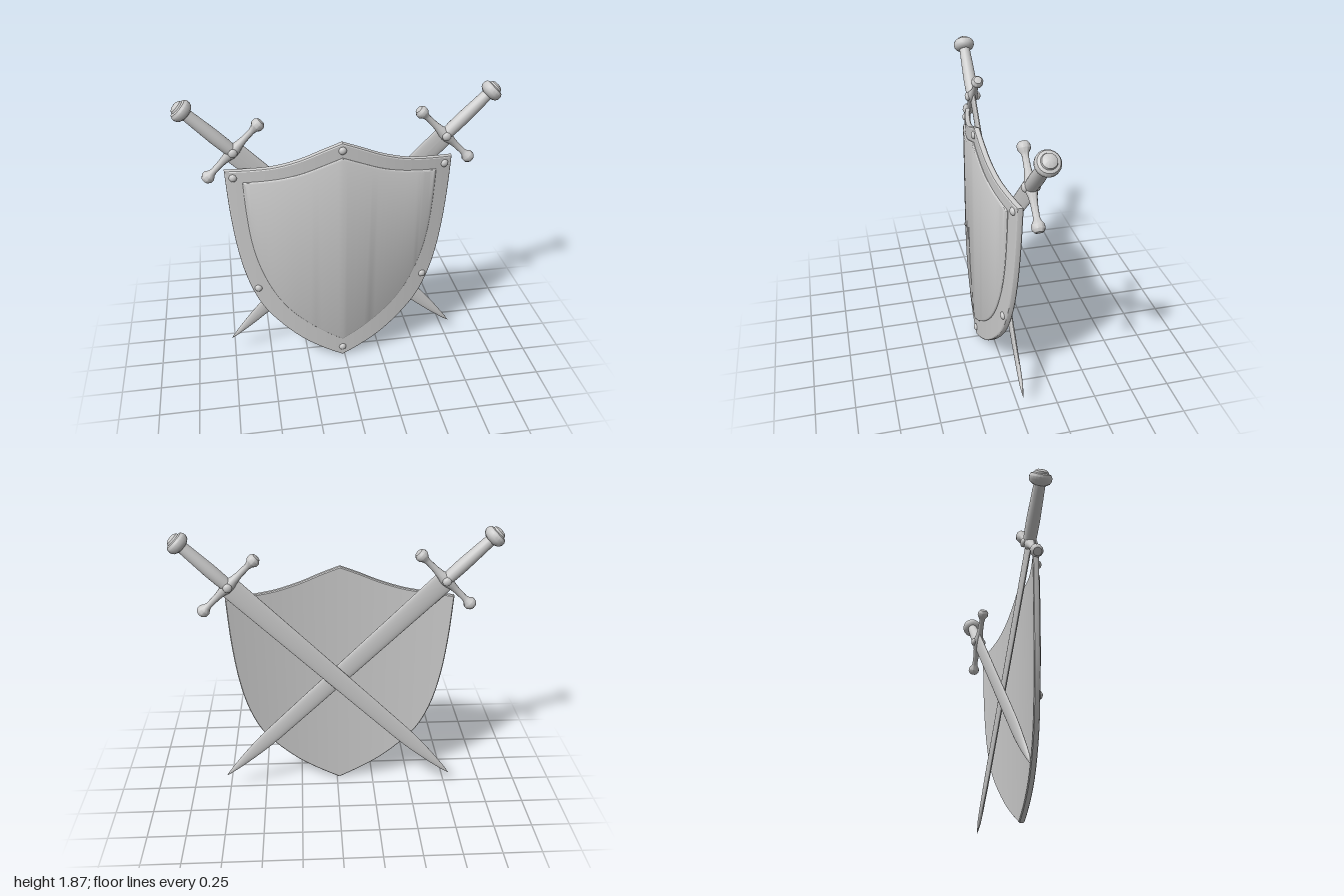
import * as THREE from 'three';
import { toCreasedNormals } from 'three/addons/utils/BufferGeometryUtils.js';

const material = new THREE.MeshStandardMaterial({ color: 0xcccccc });

function add(parent, name, geometry) {
  const mesh = new THREE.Mesh(geometry, material);
  mesh.name = name;
  parent.add(mesh);
  return mesh;
}

const vectors = (points) => points.map(([x, y]) => new THREE.Vector2(x, y));
const lathe = (points, sides, crease = 0.6) =>
  toCreasedNormals(new THREE.LatheGeometry(vectors(points), sides), crease);

// Backward bend of the shield away from its middle line
const HALF_WIDTH = 0.705;
const bend = (x) => 0.072 - 0.087 * (x / HALF_WIDTH) ** 2;

// Bent plate: half outlines run from the middle to the corner; layers are [inset, depth], back to front
function bentPlate(topPoints, lowerPoints, layers) {
  const half = 28, n = half * 2;
  const top = new THREE.SplineCurve(vectors(topPoints)).getPoints(80);
  const lower = new THREE.SplineCurve(vectors(lowerPoints)).getPoints(half);
  const topY = (x) => {
    const i = Math.max(1, top.findIndex((p) => p.x >= x));
    const a = top[i - 1], b = top[i];
    return a.y + ((b.y - a.y) * (x - a.x)) / (b.x - a.x);
  };

  // Closed loop: lower edge left to right, then top edge right to left
  const loop = [];
  for (let i = 0; i <= n; i++) {
    const p = lower[Math.abs(i - half)];
    loop.push([i < half ? -p.x : p.x, p.y]);
  }
  for (let i = n - 1; i > 0; i--) loop.push([loop[i][0], topY(Math.abs(loop[i][0]))]);

  const width = lower[half].x, midY = 0.85, count = loop.length;
  const positions = [], index = [];
  for (const [inset, depth] of layers) {
    for (const [x, y] of loop) {
      const px = x * (1 - inset / width);
      positions.push(px, midY + (y - midY) * (1 - inset / 0.7), bend(px) + depth);
    }
  }
  // Edge strips between layers
  for (let l = 0; l < layers.length - 1; l++) {
    for (let k = 0; k < count; k++) {
      const a = l * count + k, b = l * count + ((k + 1) % count);
      index.push(a, b, b + count, a, b + count, a + count);
    }
  }
  // Front and back faces, filled in upright columns
  const front = (layers.length - 1) * count;
  const tri = (a, b, c) => {
    if (a === b || b === c || a === c) return;
    index.push(front + a, front + b, front + c, a, c, b);
  };
  const upper = (i) => (2 * n - i) % (2 * n);
  for (let i = 0; i < n; i++) {
    tri(i, i + 1, upper(i + 1));
    tri(i, upper(i + 1), upper(i));
  }
  const geometry = new THREE.BufferGeometry();
  geometry.setAttribute('position', new THREE.Float32BufferAttribute(positions, 3));
  geometry.setIndex(index);
  return toCreasedNormals(geometry, 0.45);
}

function createShield() {
  const shield = new THREE.Group();
  shield.name = 'shield';

  add(shield, 'shieldRim', bentPlate(
    [[0, 1.6], [0.12, 1.555], [0.25, 1.503], [0.4, 1.461], [0.55, 1.442], [HALF_WIDTH, 1.43]],
    [[0, 0], [0.14, 0.078], [0.28, 0.175], [0.42, 0.31], [0.53, 0.455], [0.61, 0.65],
      [0.66, 0.88], [0.69, 1.15], [HALF_WIDTH, 1.43]],
    [[0.006, 0], [0, 0.006], [0, 0.027], [0.003, 0.034], [0.01, 0.038]]));

  add(shield, 'shieldPanel', bentPlate(
    [[0, 1.507], [0.12, 1.462], [0.24, 1.418], [0.36, 1.388], [0.48, 1.371], [0.6, 1.36]],
    [[0, 0.143], [0.13, 0.225], [0.26, 0.33], [0.37, 0.445], [0.46, 0.59], [0.53, 0.77],
      [0.57, 0.95], [0.59, 1.15], [0.6, 1.36]],
    [[0, 0.02], [0, 0.041], [0.004, 0.046], [0.014, 0.05]]));

  // Domed rivets around the rim
  const spots = [[0, 1.553], [0, 0.072]];
  for (const s of [-1, 1]) spots.push([s * 0.655, 1.388], [s * 0.548, 0.59]);
  const dome = new THREE.SphereGeometry(0.025, 16, 6, 0, Math.PI * 2, 0, Math.PI / 2);
  dome.scale(1, 0.75, 1).rotateX(Math.PI / 2);
  for (const [x, y] of spots) {
    const rivet = add(shield, 'rivet', dome);
    rivet.position.set(x, y, bend(x) + 0.036);
    rivet.rotation.y = Math.atan((2 * 0.087 * x) / HALF_WIDTH ** 2);
  }
  shield.position.x = -0.016;
  return shield;
}

// Sword pointing down -y, with the middle of its guard at the origin
function createSword(name) {
  const sword = new THREE.Group();
  sword.name = name;

  // Blade: turned profile flattened to a thin oval section
  const blade = new THREE.LatheGeometry(vectors([
    [0.0005, -2.02], [0.008, -1.99], [0.017, -1.94], [0.029, -1.86], [0.039, -1.78],
    [0.047, -1.7], [0.053, -1.62], [0.056, -1.54], [0.06, -1.2], [0.065, -0.6], [0.07, 0]]), 24);
  const p = blade.attributes.position;
  for (let i = 0; i < p.count; i++) {
    const r = Math.hypot(p.getX(i), p.getZ(i));
    p.setZ(i, (p.getZ(i) / r) * 0.013 * Math.min(1, r / 0.02));
  }
  blade.computeVertexNormals();
  add(sword, 'blade', blade);

  add(sword, 'grip', lathe([[0.038, 0], [0.041, 0.06], [0.042, 0.14], [0.039, 0.24], [0.035, 0.37]], 20));

  add(sword, 'pommel', lathe([
    [0, 0.345], [0.038, 0.345], [0.06, 0.358], [0.069, 0.375], [0.069, 0.395], [0.06, 0.41],
    [0.044, 0.415], [0.04, 0.426], [0.024, 0.435], [0, 0.438]], 20));

  // Guard: tapering arms with flared end knobs
  const arm = [[0.038, 0], [0.036, 0.025], [0.027, 0.055], [0.021, 0.1], [0.019, 0.17],
    [0.024, 0.19], [0.039, 0.212], [0.039, 0.235], [0.026, 0.253], [0, 0.258]];
  const profile = [...arm.slice(1).reverse().map(([r, y]) => [r, -y]), ...arm];
  add(sword, 'guard', lathe(profile, 10, 0.7).rotateZ(Math.PI / 2));

  // Round studs on both faces of the guard
  for (const side of [-1, 1]) {
    const stud = add(sword, 'guardStud', new THREE.SphereGeometry(0.028, 16, 10));
    stud.scale.z = 0.7;
    stud.position.z = side * 0.034;
  }
  return sword;
}

export function createModel() {
  const model = new THREE.Group();
  model.name = 'shieldWithCrossedSwords';
  model.add(createShield());

  // The swords cross behind the shield, one behind the other
  for (const [name, side, z] of [['rightSword', -1, -0.019], ['leftSword', 1, -0.057]]) {
    const sword = createSword(name);
    sword.position.set(side * 0.66, 1.54, z);
    sword.rotation.z = -side * Math.PI / 4;
    model.add(sword);
  }
  return model;
}
